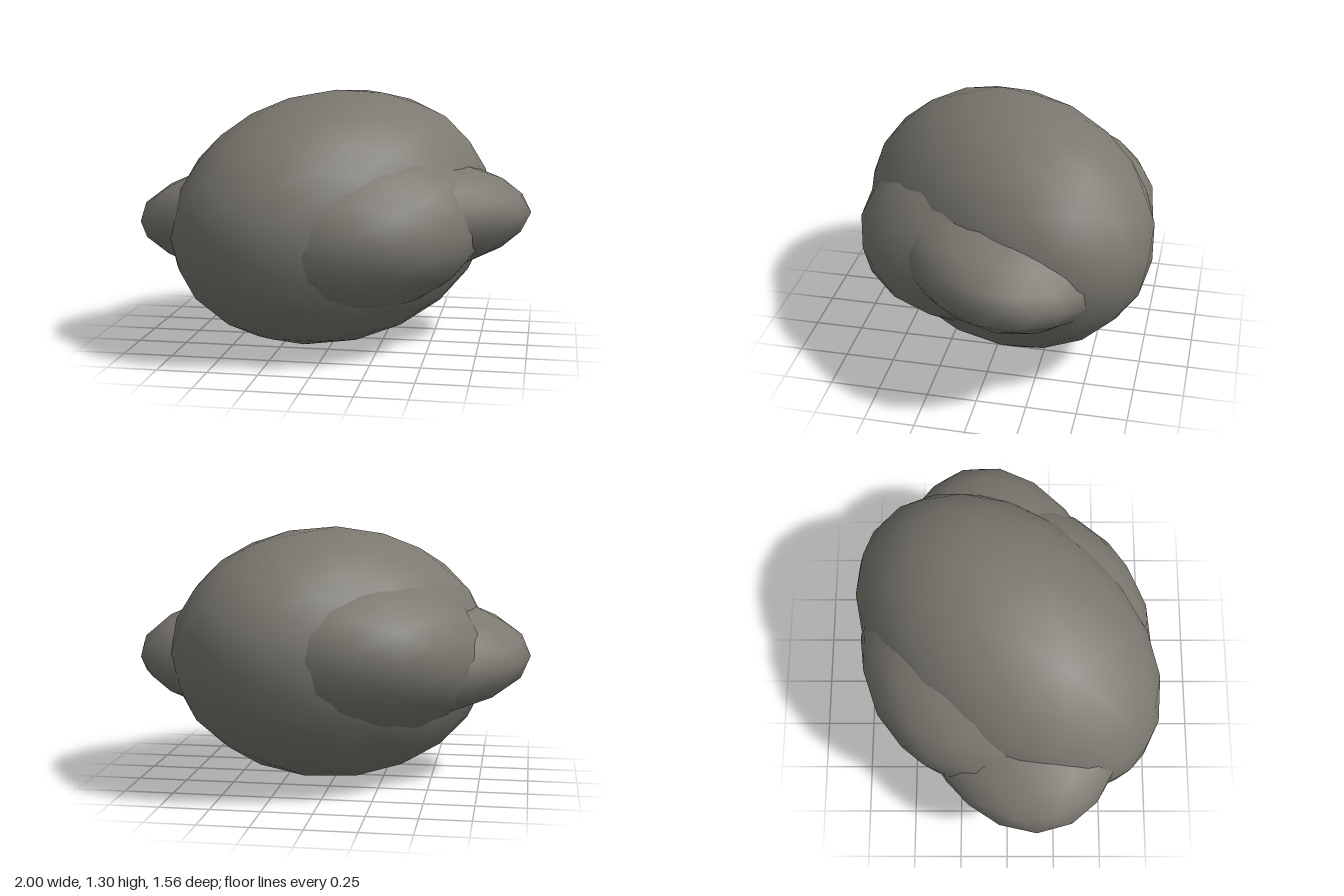
import * as THREE from 'three';

// Low-poly ball stretched into a tilted ellipsoid by three conjugate radii
function ellipsoid(name, a, b, c, material) {
  const geometry = new THREE.IcosahedronGeometry(0.985, 3);
  const basis = new THREE.Matrix4().makeBasis(
    new THREE.Vector3(...a), new THREE.Vector3(...b), new THREE.Vector3(...c));
  geometry.applyMatrix4(basis);
  const mesh = new THREE.Mesh(geometry, material);
  mesh.name = name;
  mesh.position.y = 0.655;
  return mesh;
}

export function createModel() {
  const group = new THREE.Group();
  group.name = 'boulder';
  const stone = new THREE.MeshStandardMaterial({ color: 0x7b7870 });

  // Large rounded mass, longest from front right to back left
  group.add(ellipsoid('mainBody', [0.8, 0.037, -0.275], [0, 0.662, 0], [0, -0.033, 0.758], stone));

  // Flatter lump that swells out of the two broad flanks
  group.add(ellipsoid('flankBulge', [0.787, 0.005, 0.03], [0, 0.488, 0], [0, -0.062, 0.768], stone));

  // Slim lump that pokes out at both ends
  group.add(ellipsoid('endKnobs', [1.015, 0.02, -0.15], [0, 0.35, 0], [0, 0.05, 0.62], stone));

  return group;
}
